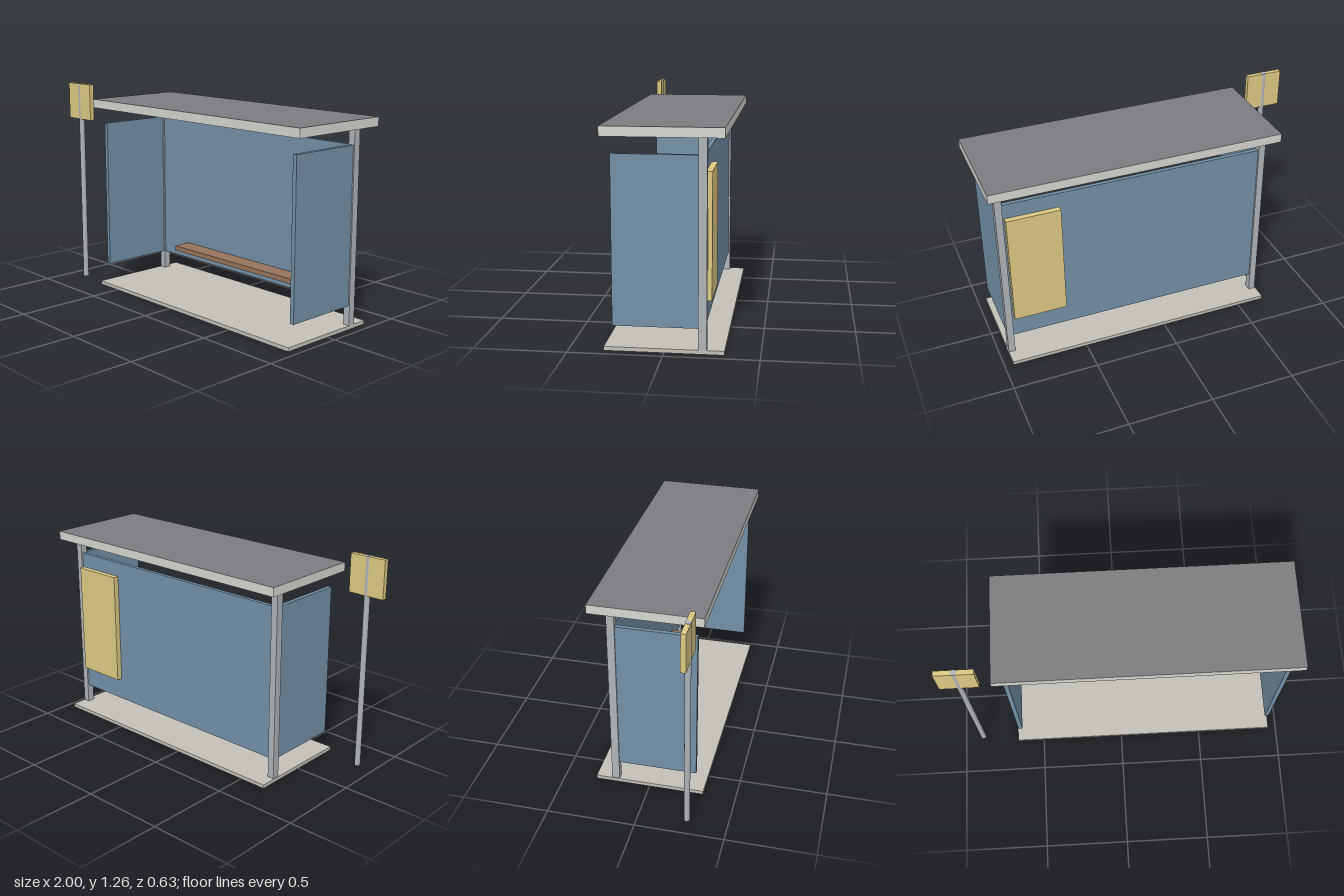
import * as THREE from 'three';

const paint = (color, extra = {}) => new THREE.MeshStandardMaterial({ color, ...extra });

export function createModel() {
  const model = new THREE.Group();
  const steel = paint(0xb0b4b8);
  const glass = paint(0x7390a6);
  const yellow = paint(0xdcc983);
  const wood = paint(0x96745c);
  const concrete = paint(0xc2c0b8, { side: THREE.DoubleSide });
  const roofing = paint(0x7c7c80, { side: THREE.DoubleSide });
  const trim = paint(0xd6d6d0, { side: THREE.DoubleSide });

  const add = (parent, name, geometry, material) => {
    const mesh = new THREE.Mesh(geometry, material);
    mesh.name = name;
    parent.add(mesh);
    return mesh;
  };

  // Solid box given by its lower and upper limits on each axis
  const box = (name, [x0, x1], [y0, y1], [z0, z1], material) => {
    const mesh = add(model, name, new THREE.BoxGeometry(x1 - x0, y1 - y0, z1 - z0), material);
    mesh.position.set((x0 + x1) / 2, (y0 + y1) / 2, (z0 + z1) / 2);
    return mesh;
  };

  // Shallow tray turned upside down: a top sheet and four thin sides, open below
  const tray = (name, [x0, x1], [y0, y1], depth, topMaterial, sideMaterial) => {
    const group = new THREE.Group();
    group.name = name;
    const w = x1 - x0, h = y1 - y0;
    const top = add(group, name + 'Top', new THREE.PlaneGeometry(w, depth), topMaterial);
    top.rotation.x = -Math.PI / 2;
    top.position.y = h;
    for (let i = 0; i < 4; i++) {
      const long = i % 2 === 0;
      const side = add(group, name + 'Edge', new THREE.PlaneGeometry(long ? w : depth, h), sideMaterial);
      const angle = i * Math.PI / 2;
      side.rotation.y = angle;
      side.position.set(Math.sin(angle) * w / 2, h / 2, Math.cos(angle) * depth / 2);
    }
    group.position.set((x0 + x1) / 2, y0, 0);
    model.add(group);
  };

  // Floor slab and roof
  tray('floor', [-0.665, 0.95], [0, 0.022], 0.63, concrete, concrete);
  tray('roof', [-0.705, 1.0], [1.128, 1.18], 0.63, roofing, trim);

  // Rear posts with a side panel in front of each
  const centre = 0.145, glassY = [0.135, 1.035];
  for (const [side, s] of [['right', -1], ['left', 1]]) {
    const x = centre + s * 0.785;
    box(side + 'Post', [x - 0.02, x + 0.02], [0.022, 1.128], [-0.223, -0.179], steel);
    box(side + 'Panel', [x - 0.0125, x + 0.0125], glassY, [-0.19, 0.27], glass);
  }

  // Back panel, bench and rear poster board
  box('backPanel', [centre - 0.77, centre + 0.77], glassY, [-0.212, -0.188], glass);
  box('bench', [-0.395, 0.68], [0.205, 0.235], [-0.19, -0.077], wood);
  box('posterBoard', [0.59, 0.9], [0.272, 0.947], [-0.245, -0.21], yellow);

  // Free-standing stop sign: the pole shows through both faces of the plate
  const pole = add(model, 'signPole', new THREE.CylinderGeometry(0.017, 0.017, 1.261, 12), steel);
  pole.position.set(-0.89, 0.6305, 0.271);
  box('signPlate', [-1, -0.78], [1.037, 1.26], [0.2565, 0.2855], yellow);

  return model;
}
